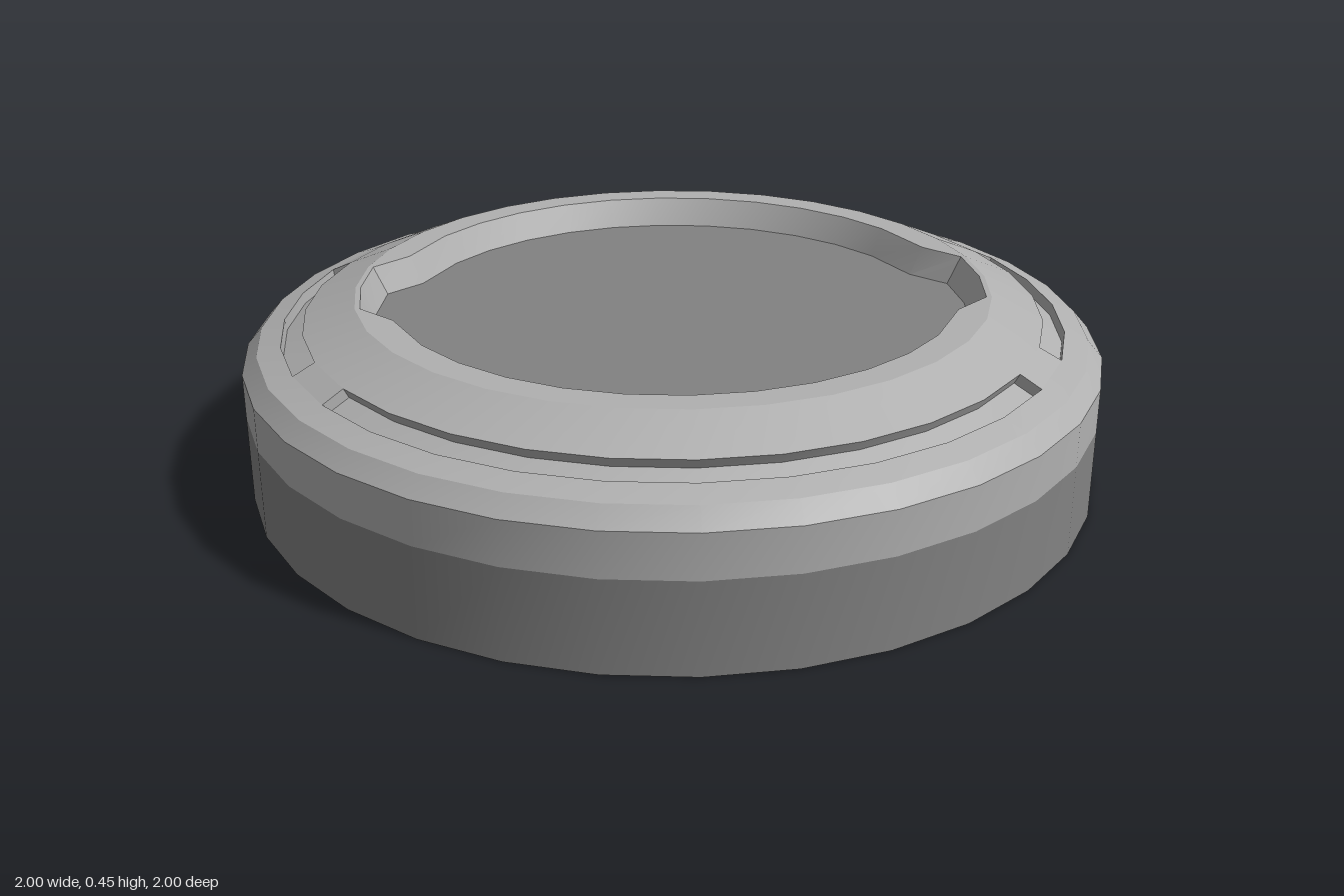
import * as THREE from 'three';
import { toCreasedNormals } from 'three/addons/utils/BufferGeometryUtils.js';

const SIDES = 32;
const STEP = (Math.PI * 2) / SIDES;
const polar = (angle, r, y) => new THREE.Vector3(Math.sin(angle) * r, y, Math.cos(angle) * r);

// A circle of the lathe-like body: index -> point
const circle = (r, y) => (i) => polar(i * STEP, r, y);

// Contour of the central opening: a circle widened by a notch on either side
const opening = (r, y) => (i) => {
  const k = (i + 40) % 16;
  const notch = k === 0 || k === 1 || k === 15;
  const shift = THREE.MathUtils.degToRad(k === 2 ? -3.5 : k === 14 ? 3.5 : 0);
  return polar(i * STEP + shift, notch ? r + 0.058 : r, y);
};

// Skin consecutive contours between two side indices
function skin(contours, from = 0, to = SIDES, out = []) {
  for (let c = 0; c < contours.length - 1; c++) {
    const [a, b] = [contours[c], contours[c + 1]];
    for (let i = from; i < to; i++) {
      out.push(a(i), a(i + 1), b(i + 1), a(i), b(i + 1), b(i));
    }
  }
  return out;
}

function part(name, points, material) {
  const geometry = toCreasedNormals(new THREE.BufferGeometry().setFromPoints(points), 0.35);
  const mesh = new THREE.Mesh(geometry, material);
  mesh.name = name;
  return mesh;
}

export function createModel() {
  const light = new THREE.MeshStandardMaterial({ color: 0xb0b0b0, side: THREE.DoubleSide });
  light.name = 'light grey';
  const dark = new THREE.MeshStandardMaterial({ color: 0x828282, side: THREE.DoubleSide });
  dark.name = 'dark grey';

  const model = new THREE.Group();
  model.name = 'ringCap';

  // Open skirt and the lighter band with its bevelled shoulder
  model.add(part('lowerSkirt', skin([circle(1, 0), circle(1, 0.21)]), dark));
  const slotOuter = circle(0.91, 0.371);
  const slotInner = circle(0.86, 0.395);
  model.add(part('shoulder', skin([circle(1, 0.21), circle(1, 0.312), circle(0.965, 0.352), slotOuter]), light));

  // Sloping crown, flat rim and the lip of the opening
  model.add(part('crown', skin([slotInner, circle(0.74, 0.447), opening(0.67, 0.447), opening(0.638, 0.38)]), light));

  // Bridges joining shoulder and crown between the slots
  const bridges = [];
  for (const i of [5, 10, 21, 26]) skin([slotOuter, slotInner], i, i + 1, bridges);
  model.add(part('bridges', bridges, light));

  // Four recessed slots: long ones front and back, short ones at the sides
  const slotSection = [slotOuter, circle(0.906, 0.345), circle(0.848, 0.372), slotInner];
  for (const [name, from, to] of [
    ['frontSlot', -5, 5], ['leftSlot', 6, 10], ['backSlot', 11, 21], ['rightSlot', 22, 26],
  ]) {
    const points = skin(slotSection, from, to);
    const [a0, b0, c0, d0] = slotSection.map((ring) => ring(from));
    const [a1, b1, c1, d1] = slotSection.map((ring) => ring(to));
    points.push(a0, b0, c0, a0, c0, d0, a1, c1, b1, a1, d1, c1);
    model.add(part(name, points, light));
  }

  // Panel closing the opening
  const edge = opening(0.638, 0);
  const outline = Array.from({ length: SIDES }, (_, i) => new THREE.Vector2(edge(i).x, -edge(i).z));
  const panel = new THREE.Mesh(new THREE.ShapeGeometry(new THREE.Shape(outline)).rotateX(-Math.PI / 2), dark);
  panel.name = 'centrePanel';
  panel.position.y = 0.38;
  model.add(panel);

  return model;
}
